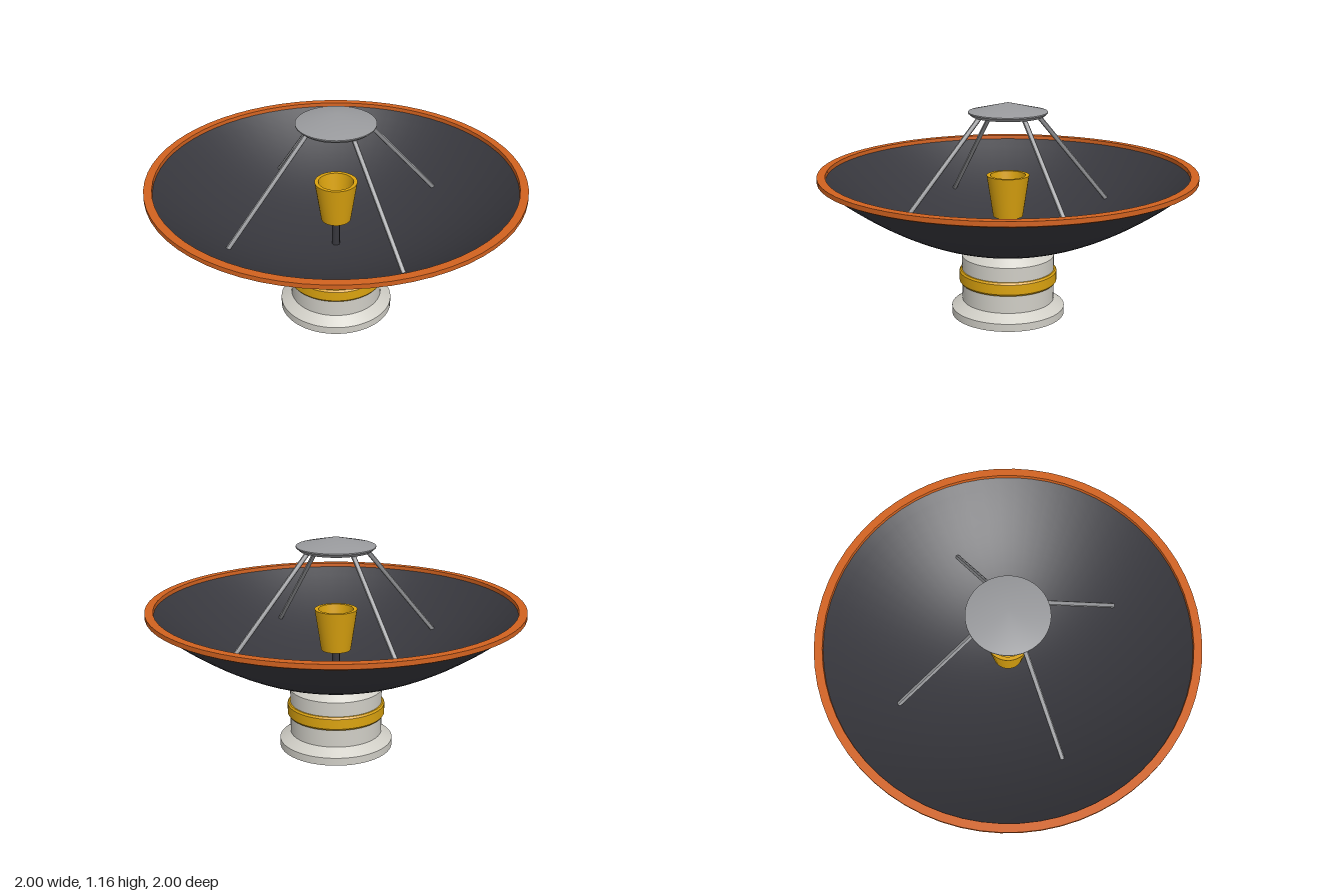
import * as THREE from 'three';
import { toCreasedNormals } from 'three/addons/utils/BufferGeometryUtils.js';

const mat = (name, color) => {
  const m = new THREE.MeshStandardMaterial({ color });
  m.name = name;
  return m;
};

// Turned part from [radius, height] pairs, listed from the bottom outward and up
function turned(name, profile, material, sides = 64, crease = 0.4) {
  const pts = profile.map(([r, y]) => new THREE.Vector2(r, y));
  const geo = toCreasedNormals(new THREE.LatheGeometry(pts, sides), crease);
  const mesh = new THREE.Mesh(geo, material);
  mesh.name = name;
  return mesh;
}

// Round bar between two points
function bar(name, a, b, radius, material) {
  const dir = b.clone().sub(a);
  const geo = toCreasedNormals(new THREE.CylinderGeometry(radius, radius, dir.length(), 8), 0.9);
  const mesh = new THREE.Mesh(geo, material);
  mesh.position.copy(a).add(b).multiplyScalar(0.5);
  mesh.quaternion.setFromUnitVectors(new THREE.Vector3(0, 1, 0), dir.normalize());
  mesh.name = name;
  return mesh;
}

// Parabola from the axis out to a given edge
function parabola(edgeR, bottomY, edgeY, steps = 20) {
  return Array.from({ length: steps + 1 }, (_, i) => {
    const t = i / steps;
    return [edgeR * t, bottomY + (edgeY - bottomY) * t * t];
  });
}

export function createModel() {
  const model = new THREE.Group();
  model.name = 'dishAntenna';

  const shell = mat('pale shell', 0xd0cec6);
  const dark = mat('dark dish', 0x38383e);
  const orange = mat('orange rim', 0xd2621f);
  const gold = mat('gold', 0xdba30f);
  const metal = mat('grey metal', 0x9a9b9e);

  // Pedestal with flared foot and tapered neck
  model.add(turned('pedestal', [
    [0, 0], [0.308, 0], [0.308, 0.042], [0.25, 0.08], [0.25, 0.33], [0.185, 0.385], [0, 0.385],
  ], shell));

  // Collar around the pedestal
  model.add(turned('collar', [
    [0.245, 0.178], [0.258, 0.178], [0.265, 0.188], [0.265, 0.242], [0.258, 0.252], [0.245, 0.252],
  ], gold));

  // Thin parabolic bowl: underside outward, then inside back to the axis
  model.add(turned('dish', [
    ...parabola(0.972, 0.365, 0.768),
    ...parabola(0.96, 0.386, 0.782).reverse(),
  ], dark));

  // Rim band
  model.add(turned('rim', [
    [0.955, 0.768], [0.985, 0.768], [1, 0.776], [1, 0.8], [0.957, 0.8], [0.955, 0.768],
  ], orange));

  // Hollow feed horn on a slim stem
  model.add(turned('feedHorn', [
    [0, 0.545], [0.08, 0.545], [0.114, 0.77], [0.094, 0.77], [0.066, 0.57], [0, 0.57],
  ], gold, 32));
  model.add(bar('hornStem', new THREE.Vector3(0, 0.38, 0), new THREE.Vector3(0, 0.55, 0), 0.022, dark));

  // Shallow conical cap above the horn
  model.add(turned('subreflector', [
    [0, 1.088], [0.19, 1.088], [0.21, 1.105], [0.21, 1.111], [0, 1.16],
  ], metal, 48, 0.6));

  // Four struts from the bowl to the cap
  const struts = new THREE.Group();
  struts.name = 'struts';
  for (let i = 0; i < 4; i++) {
    const a = Math.PI / 8 + (i * Math.PI) / 2;
    const at = (r, y) => new THREE.Vector3(r * Math.cos(a), y, -r * Math.sin(a));
    struts.add(bar('strut', at(0.643, 0.558), at(0.165, 1.095), 0.013, metal));
  }
  model.add(struts);

  return model;
}
